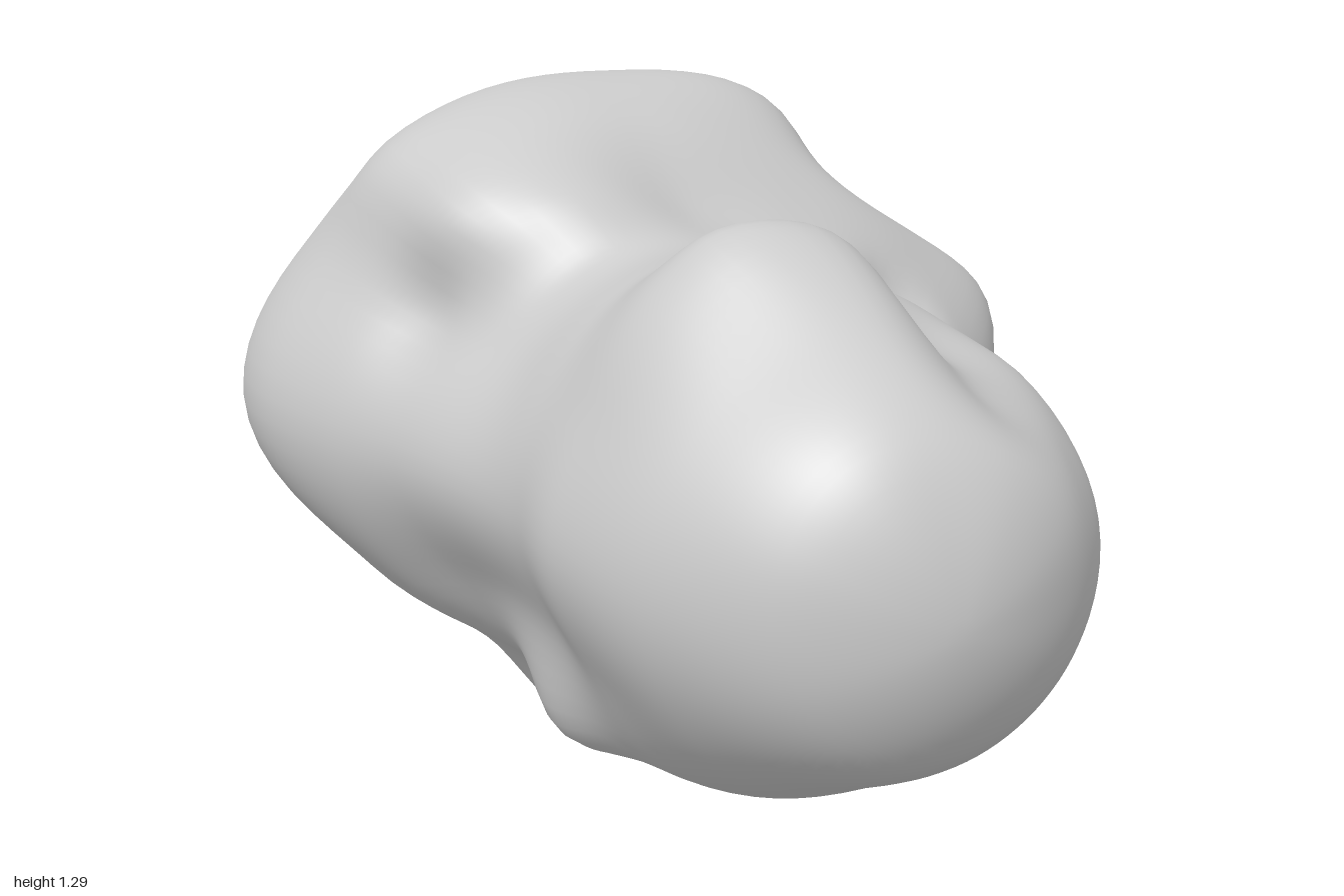
import * as THREE from 'three';

// Cross-sections along z: 12 radii every 30 degrees, from +x towards +y, about the axis y = 0.7
const AXIS_Y = 0.7;
const SECTIONS = [
  { z: -0.93, r: [.34, .29, .25, .23, .26, .31, .34, .30, .26, .24, .27, .31] },
  { z: -0.78, r: [.57, .50, .43, .40, .43, .50, .56, .50, .43, .39, .43, .50] },
  { z: -0.6, r: [.61, .55, .54, .53, .56, .60, .68, .59, .55, .59, .55, .60] },
  { z: -0.4, r: [.65, .57, .60, .58, .62, .63, .70, .60, .57, .70, .61, .64] },
  { z: -0.2, r: [.68, .59, .52, .53, .60, .57, .63, .57, .53, .63, .58, .60] },
  { z: -0.03, r: [.60, .48, .40, .40, .52, .49, .54, .48, .51, .55, .55, .56] },
  { z: 0.12, r: [.51, .43, .36, .37, .42, .43, .48, .44, .51, .50, .51, .52] },
  { z: 0.3, r: [.46, .42, .38, .40, .43, .43, .44, .42, .50, .47, .46, .45] },
  { z: 0.5, r: [.47, .42, .37, .48, .48, .43, .44, .42, .46, .47, .46, .48] },
  { z: 0.72, r: [.39, .35, .31, .38, .38, .38, .38, .37, .37, .36, .37, .39] },
  { z: 0.92, r: [.23, .24, .24, .24, .25, .24, .23, .23, .23, .23, .23, .23] },
];

// Local dents and lumps: centre, radius, displacement
const BUMPS = [
  // dents and grooves
  { at: [0.40, 0.93, 0.04], size: 0.07, push: [-0.04, -0.04, 0] },
  { at: [0.18, 1.02, 0.5], size: 0.14, push: [-0.02, -0.03, 0] },
  { at: [0.44, 1.06, -0.32], size: 0.13, push: [-0.03, -0.04, 0] },
  { at: [0.46, 1.04, -0.55], size: 0.13, push: [-0.02, -0.03, 0] },
  { at: [0.62, 0.56, -0.28], size: 0.12, push: [-0.03, 0, 0] },
  { at: [0.55, 0.48, -0.6], size: 0.1, push: [-0.02, 0.01, 0] },
  { at: [0.36, 0.27, -0.2], size: 0.1, push: [-0.02, 0.02, 0] },
  { at: [0.46, 0.58, 0.27], size: 0.08, push: [-0.02, 0, 0] },
  { at: [0.44, 0.45, 0.27], size: 0.09, push: [-0.02, 0.01, 0] },
  { at: [-0.48, 0.96, -0.1], size: 0.09, push: [0.03, -0.02, 0] },
  // right side lump
  { at: [0.66, 0.76, -0.22], size: 0.17, push: [0.02, 0.05, 0] },
  // upper knob and its front lip
  { at: [-0.43, 1.15, -0.33], size: 0.14, push: [-0.04, 0.02, 0.02] },
  { at: [-0.38, 1.11, -0.12], size: 0.13, push: [-0.04, 0.01, 0.04] },
  { at: [-0.22, 1.12, -0.02], size: 0.15, push: [0, 0, 0.03] },
  // lower left lump, front crest and lowest point
  { at: [-0.28, 0.29, 0.18], size: 0.13, push: [-0.04, -0.03, 0] },
  { at: [-0.12, 1.19, 0.5], size: 0.12, push: [-0.03, 0.01, 0] },
  { at: [0, 0, -0.4], size: 0.2, push: [-0.05, -0.01, 0] },
];

const cubic = (a, b, c, d, t) =>
  b + 0.5 * t * (c - a + t * (2 * a - 5 * b + 4 * c - d + t * (3 * (b - c) + d - a)));

// Smooth periodic radius of one section
function radiusAt(r, angle) {
  const s = (angle / (2 * Math.PI)) * 12;
  const i = Math.floor(s);
  const p = (k) => r[(i + k + 24) % 12];
  return cubic(p(-1), p(0), p(1), p(2), s - i);
}

// Close both ends with a pole, mirrored across it so the tip is round
function closedSections() {
  const pole = (z) => ({ z, r: Array(12).fill(0) });
  const mirror = (s) => ({ z: s.z, r: s.r.map((_, i) => -s.r[(i + 6) % 12]) });
  return [mirror(SECTIONS[0]), pole(-1), ...SECTIONS, pole(1), mirror(SECTIONS.at(-1))];
}

function bodyGeometry(around = 96, steps = 9) {
  const secs = closedSections();
  const rings = (secs.length - 3) * steps;
  const pos = [];
  const index = [];

  const addPoint = (x, y, z) => {
    const v = new THREE.Vector3(x, y, z);
    const shift = new THREE.Vector3();
    for (const b of BUMPS) {
      const d = v.distanceTo(new THREE.Vector3(...b.at)) / b.size;
      shift.addScaledVector(new THREE.Vector3(...b.push), Math.exp(-d * d));
    }
    v.add(shift);
    pos.push(v.x, v.y, v.z);
  };

  // Back pole, rings, front pole
  addPoint(0, AXIS_Y, -1);
  for (let i = 1; i < rings; i++) {
    const k = Math.floor(i / steps);
    const t = i / steps - k;
    const four = secs.slice(k, k + 4);
    const z = cubic(...four.map((s) => s.z), t);
    for (let j = 0; j < around; j++) {
      const a = (j / around) * 2 * Math.PI;
      const r = cubic(...four.map((s) => radiusAt(s.r, a)), t);
      addPoint(r * Math.cos(a), AXIS_Y + r * Math.sin(a), z);
    }
  }
  addPoint(0, AXIS_Y, 1);

  const last = pos.length / 3 - 1;
  const at = (i, j) => 1 + i * around + (j % around);
  for (let j = 0; j < around; j++) {
    index.push(0, at(0, j + 1), at(0, j));
    for (let i = 0; i < rings - 2; i++) {
      index.push(at(i, j), at(i, j + 1), at(i + 1, j));
      index.push(at(i, j + 1), at(i + 1, j + 1), at(i + 1, j));
    }
    index.push(at(rings - 2, j), at(rings - 2, j + 1), last);
  }

  const geo = new THREE.BufferGeometry();
  geo.setAttribute('position', new THREE.Float32BufferAttribute(pos, 3));
  geo.setIndex(index);
  geo.computeVertexNormals();
  return geo;
}

export function createModel() {
  const group = new THREE.Group();
  group.name = 'asteroid';
  const rock = new THREE.Mesh(bodyGeometry(), new THREE.MeshStandardMaterial({ color: 0xcccccc }));
  rock.name = 'rockBody';
  group.add(rock);
  return group;
}
